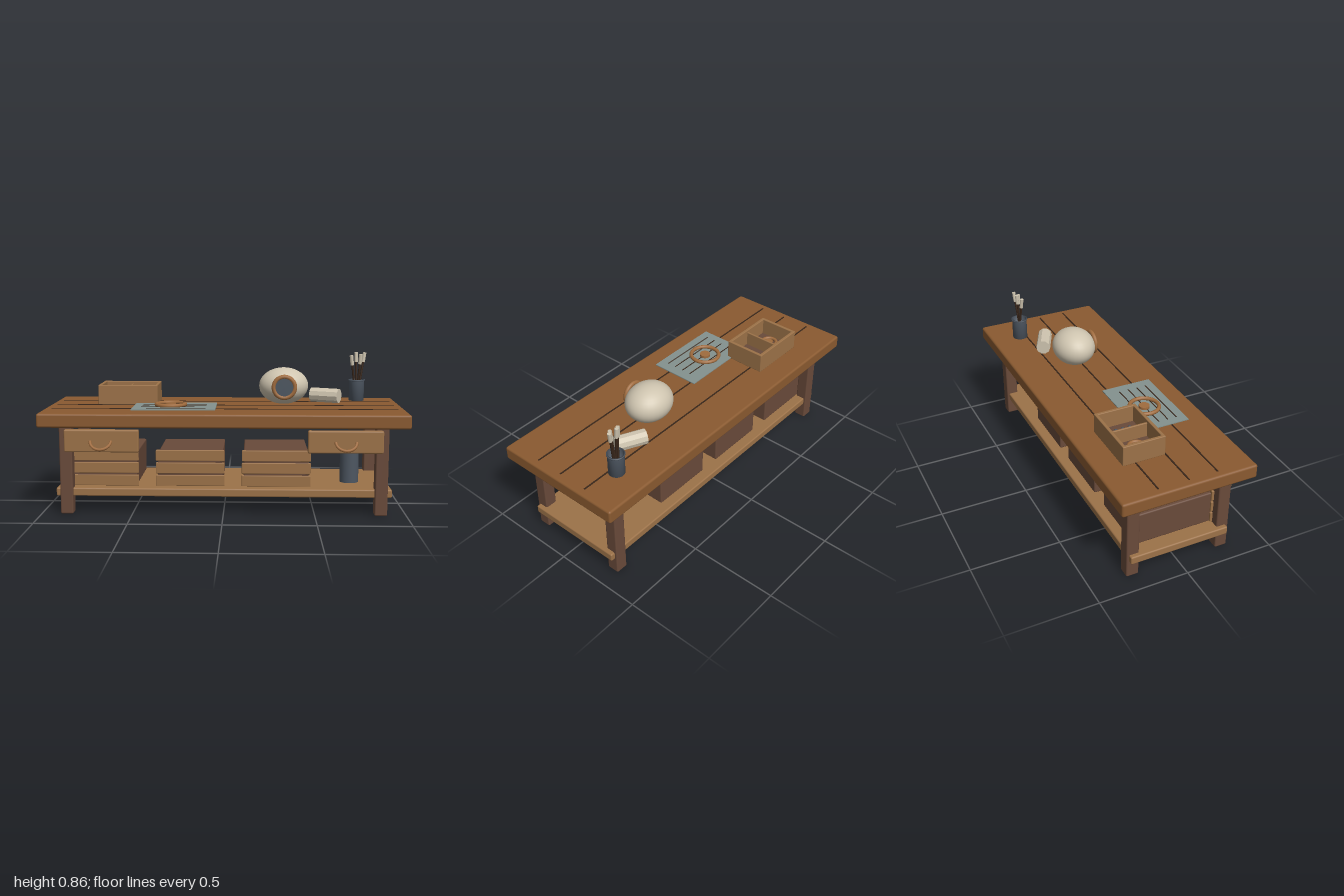
import * as THREE from 'three';
import { RoundedBoxGeometry } from 'three/addons/geometries/RoundedBoxGeometry.js';

const mat = (name, color, extra = {}) => Object.assign(new THREE.MeshStandardMaterial({ color, ...extra }), { name });

export function createModel() {
  const M = {
    top: mat('oak top', 0x8a5a30),
    light: mat('light wood', 0x9c7248),
    dark: mat('dark wood', 0x694a3a),
    groove: mat('groove brown', 0x38261a),
    slate: mat('slate metal', 0x4d5661, { side: THREE.DoubleSide }),
    bone: mat('bone', 0xcfc5b0),
    paper: mat('paper blue', 0x84928f),
    steel: mat('steel', 0x5f717c),
    copper: mat('copper wood', 0xa06c3e),
  };
  const boneFlat = M.bone;
  const model = new THREE.Group();
  model.name = 'workbench';

  const add = (name, geo, material, x, y, z, parent = model) => {
    const m = new THREE.Mesh(geo, material);
    m.name = name;
    m.position.set(x, y, z);
    parent.add(m);
    return m;
  };
  // Box given by its extents, with softened edges
  const block = (name, material, x0, x1, y0, y1, z0, z1, r = 0.006) =>
    add(name, new RoundedBoxGeometry(x1 - x0, y1 - y0, z1 - z0, 2, r), material, (x0 + x1) / 2, (y0 + y1) / 2, (z0 + z1) / 2);
  const plate = (name, material, x, y, z, w, h, d) => add(name, new THREE.BoxGeometry(w, h, d), material, x, y, z);
  const cyl = (r, h, n = 20) => new THREE.CylinderGeometry(r, r, h, n);

  // Bench frame
  block('tabletop', M.top, -1, 1, 0.49, 0.567, -0.38, 0.37, 0.012);
  for (const z of [-0.17, 0, 0.16]) plate('plankGroove', M.groove, 0, 0.5675, z, 1.92, 0.004, 0.008);
  for (const x of [-0.86, 0.86])
    for (const z of [-0.2635, 0.2615])
      block('leg', M.dark, x - 0.035, x + 0.035, 0, 0.495, z - 0.035, z + 0.035, 0.008);
  block('shelf', M.light, -0.92, 0.92, 0.097, 0.143, -0.285, 0.28, 0.008);

  // Drawer fronts with drooping pull handles
  for (const x of [-0.66, 0.66]) {
    block('drawerFront', M.light, x - 0.203, x + 0.203, 0.35, 0.473, 0.285, 0.322, 0.008);
    const arc = new THREE.TorusGeometry(0.056, 0.008, 8, 20, Math.PI);
    arc.rotateZ(Math.PI).rotateX(-Math.PI / 4);
    add('drawerHandle', arc, M.copper, x, 0.414, 0.336);
  }

  // Slatted crates on the shelf
  for (const x of [-0.66, -0.185, 0.29]) {
    block('crateBody', M.dark, x - 0.18, x + 0.18, 0.146, 0.332, -0.23, 0.222, 0.008);
    for (let i = 0; i < 3; i++) {
      const y = 0.146 + i * 0.07;
      block('crateSlat', M.light, x - 0.19, x + 0.19, y, y + 0.061, 0.212, 0.228, 0.004);
    }
  }
  add('shelfCan', cyl(0.053, 0.173, 20), M.slate, 0.707, 0.2285, 0.064);

  // Drawing sheet with ruled lines
  plate('drawingSheet', M.paper, -0.275, 0.575, 0.115, 0.46, 0.005, 0.29);
  for (const z of [0.05, 0.104, 0.158, 0.21]) plate('sheetLine', M.groove, -0.28, 0.578, z, 0.36, 0.002, 0.006);

  // Wooden wheels lying flat
  const wheel = (x, y, z, R, tube, hub) => {
    const g = new THREE.Group();
    g.name = 'wheel';
    g.position.set(x, y, z);
    add('wheelRim', new THREE.TorusGeometry(R, tube, 8, 24).rotateX(Math.PI / 2), M.copper, 0, 0, 0, g);
    add('wheelHub', cyl(hub, 0.014), M.copper, 0, 0, 0, g);
    model.add(g);
  };
  wheel(-0.3, 0.585, 0.1, 0.081, 0.011, 0.03);

  // Open parts tray with divider, wheel and studs
  block('trayFloor', M.dark, -0.72, -0.39, 0.567, 0.585, -0.235, -0.01, 0.004);
  for (const z of [-0.232, -0.012]) block('traySide', M.light, -0.725, -0.385, 0.567, 0.68, z - 0.009, z + 0.009, 0.004);
  for (const x of [-0.716, -0.394]) block('trayEnd', M.light, x - 0.009, x + 0.009, 0.567, 0.68, -0.24, -0.004, 0.004);
  block('trayDivider', M.light, -0.56, -0.548, 0.575, 0.665, -0.235, -0.01, 0.004);
  wheel(-0.636, 0.598, -0.12, 0.042, 0.01, 0.022);
  for (const x of [-0.49, -0.46])
    for (const z of [-0.15, -0.11, -0.07])
      add('stud', new THREE.SphereGeometry(0.011, 10, 8), M.slate, x, 0.592, z);

  // Rounded shell with a ringed lens
  add('shell', new THREE.SphereGeometry(1, 32, 20), M.bone, 0.335, 0.678, -0.035).scale.set(0.14, 0.104, 0.122);
  add('lensRing', new THREE.TorusGeometry(0.059, 0.0125, 10, 28), M.copper, 0.335, 0.68, 0.08);
  add('lens', cyl(0.052, 0.04, 28).rotateX(Math.PI / 2), M.slate, 0.335, 0.68, 0.068);

  // Faceted roll lying at an angle
  const rollGeo = new THREE.CylinderGeometry(0.042, 0.042, 0.17, 10).toNonIndexed();
  rollGeo.rotateZ(Math.PI / 2).rotateY(-0.45);
  rollGeo.computeVertexNormals();
  add('roll', rollGeo, boneFlat, 0.58, 0.612, -0.124);

  // Brush cup, open at the top
  const cup = [[0, 0], [0.044, 0], [0.044, 0.115], [0.048, 0.116], [0.048, 0.123], [0.04, 0.123], [0.04, 0.07], [0, 0.07]];
  const cupGeo = new THREE.LatheGeometry(cup.map(p => new THREE.Vector2(...p)), 20);
  add('brushCup', cupGeo, M.slate, 0.77, 0.573, -0.208);

  // Brushes leaning out of the cup
  const up = new THREE.Vector3(0, 1, 0);
  const brushes = [[0.735, -0.197, 0.838], [0.765, -0.219, 0.855], [0.79, -0.197, 0.845], [0.815, -0.219, 0.855]];
  for (const [x, z, tip] of brushes) {
    const end = new THREE.Vector3(x, tip, z);
    const start = new THREE.Vector3(0.77 + (x - 0.773) * 0.3, 0.645, -0.208 - (z + 0.208) * 0.3);
    const dir = end.clone().sub(start);
    const len = dir.length();
    const g = new THREE.Group();
    g.name = 'brush';
    g.position.copy(start);
    g.quaternion.setFromUnitVectors(up, dir.normalize());
    add('brushHandle', cyl(0.006, len - 0.05, 8), M.groove, 0, (len - 0.05) / 2, 0, g);
    add('brushTip', cyl(0.0105, 0.058, 8), M.bone, 0, len - 0.029, 0, g);
    model.add(g);
  }

  // Spanner: closed ring, shaft and open jaw
  const spanner = new THREE.Group();
  spanner.name = 'spanner';
  spanner.position.set(0.067, 0.584, -0.136);
  spanner.rotation.y = Math.atan2(0.115, 0.15);
  add('spannerRing', new THREE.TorusGeometry(0.026, 0.01, 8, 20).rotateX(Math.PI / 2), M.steel, 0, 0, 0, spanner);
  add('spannerShaft', new RoundedBoxGeometry(0.135, 0.014, 0.022, 2, 0.004), M.steel, 0.09, 0, 0, spanner);
  const jaw = new THREE.TorusGeometry(0.034, 0.011, 8, 20, Math.PI * 1.45);
  jaw.rotateZ(Math.PI * 0.275).rotateX(Math.PI / 2);
  add('spannerJaw', jaw, M.steel, 0.19, 0, 0, spanner);

  return model;
}
